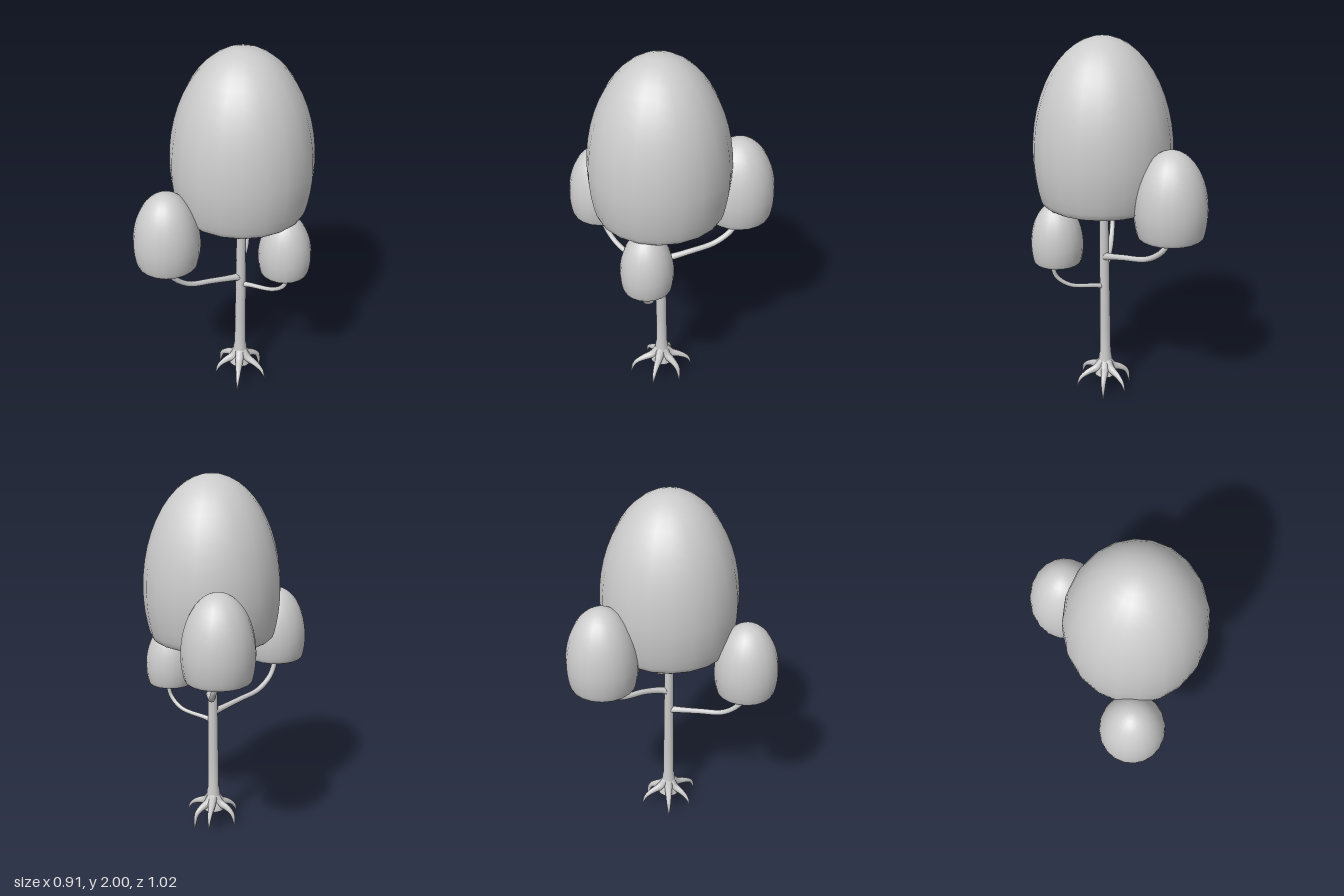
import * as THREE from 'three';
import { toCreasedNormals } from 'three/addons/utils/BufferGeometryUtils.js';

const material = new THREE.MeshStandardMaterial({ color: 0xcccccc });
const TX = 0.087, TZ = 0.11; // trunk axis

function addMesh(group, name, geometry) {
  const mesh = new THREE.Mesh(geometry, material);
  mesh.name = name;
  group.add(mesh);
  return mesh;
}

// Tube along a smooth path whose radius follows radiusAt(t)
function taperedTube(points, radiusAt, segments, sides) {
  const curve = new THREE.CatmullRomCurve3(points.map(p => new THREE.Vector3(...p)));
  const geo = new THREE.TubeGeometry(curve, segments, 1, sides);
  const pos = geo.attributes.position, v = new THREE.Vector3();
  for (let i = 0; i <= segments; i++) {
    const t = i / segments, c = curve.getPointAt(t);
    for (let j = 0; j <= sides; j++) {
      const k = i * (sides + 1) + j;
      v.fromBufferAttribute(pos, k).sub(c).multiplyScalar(radiusAt(t)).add(c);
      pos.setXYZ(k, v.x, v.y, v.z);
    }
  }
  geo.computeVertexNormals();
  // weld the shading across the tube seam
  const n = geo.attributes.normal, a = new THREE.Vector3(), b = new THREE.Vector3();
  for (let i = 0; i <= segments; i++) {
    const k = i * (sides + 1), e = k + sides;
    a.fromBufferAttribute(n, k).add(b.fromBufferAttribute(n, e)).normalize();
    n.setXYZ(k, a.x, a.y, a.z);
    n.setXYZ(e, a.x, a.y, a.z);
  }
  return geo;
}

// Egg-shaped crown with a flat underside: unit radius, unit height
function crownGeometry() {
  const pts = [[0, 0], [0.86, 0], [0.895, 0.012], [0.92, 0.04]];
  const mid = 0.3;
  for (const y of [0.1, 0.17, 0.24]) pts.push([1 - 0.08 * ((mid - y) / 0.26) ** 2, y]);
  for (let i = 0; i <= 12; i++) {
    const a = (i / 12) * Math.PI / 2;
    pts.push([i === 12 ? 0 : Math.cos(a), mid + (1 - mid) * Math.sin(a)]);
  }
  const geo = new THREE.LatheGeometry(pts.map(p => new THREE.Vector2(...p)), 20);
  return toCreasedNormals(geo, 0.75);
}

export function createModel() {
  const model = new THREE.Group();
  model.name = 'tree';

  // Crowns: name, x, base y, z, radius, height
  const crown = crownGeometry();
  for (const [name, x, y, z, r, h] of [
    ['mainCrown', 0.087, 1.13, 0.11, 0.367, 0.87],
    ['rightCrown', -0.289, 0.928, 0.337, 0.171, 0.407],
    ['leftCrown', 0.31, 0.823, 0.25, 0.138, 0.335],
    ['backCrown', 0.09, 1.024, -0.32, 0.19, 0.456],
  ]) {
    const mesh = addMesh(model, name, crown);
    mesh.position.set(x, y, z);
    mesh.scale.set(r, h, r);
  }

  // Trunk with a flared foot
  const profile = [[0, 0.095], [0.062, 0.095], [0.06, 0.115], [0.046, 0.14], [0.037, 0.175],
    [0.036, 0.21], [0.031, 0.235], [0.03, 0.4], [0.027, 0.7], [0.024, 1.15], [0, 1.15]];
  const trunkGeo = new THREE.LatheGeometry(profile.map(p => new THREE.Vector2(...p)), 12);
  addMesh(model, 'trunk', toCreasedNormals(trunkGeo, 1)).position.set(TX, 0, TZ);

  // Branches, thicker where they leave the trunk
  const branches = [
    ['rightBranch', 0.015, [[TX, 0.685, TZ], [0.04, 0.695, 0.14], [-0.07, 0.72, 0.205],
      [-0.188, 0.75, 0.275], [-0.262, 0.82, 0.32], [-0.288, 0.9, 0.337], [-0.289, 0.95, 0.337]]],
    ['leftBranch', 0.012, [[TX, 0.635, TZ], [0.13, 0.646, 0.135], [0.255, 0.674, 0.215],
      [0.31, 0.73, 0.262], [0.326, 0.79, 0.27], [0.326, 0.84, 0.268]]],
    ['backBranch', 0.016, [[TX, 0.81, TZ], [0.105, 0.825, 0.06], [0.118, 0.848, -0.04],
      [0.116, 0.875, -0.19], [0.113, 0.94, -0.285], [0.1, 1.0, -0.315], [0.095, 1.05, -0.316]]],
  ];
  for (const [name, r, path] of branches) {
    addMesh(model, name, taperedTube(path, t => r * (1 + 0.5 * Math.exp(-t * 9)), 24, 8));
  }

  // Claw-like roots: offset of each tip from the trunk axis and its height
  const roots = new THREE.Group();
  roots.name = 'roots';
  model.add(roots);
  for (const [dx, dz, tip] of [
    [-0.015, 0.182, 0.03], [0.14, 0.095, 0.045], [0.115, -0.07, 0],
    [0.04, -0.165, 0.045], [-0.115, -0.085, 0.015], [-0.138, 0.05, 0.045],
  ]) {
    const at = (k, y) => [TX + dx * k, y, TZ + dz * k];
    const path = [at(0.08, 0.175), at(0.3, 0.138), at(0.62, 0.118), at(0.87, 0.09), at(1, tip)];
    addMesh(roots, 'root', taperedTube(path, t => 0.001 + 0.027 * (1 - t) ** 0.8, 14, 7));
  }

  return model;
}
